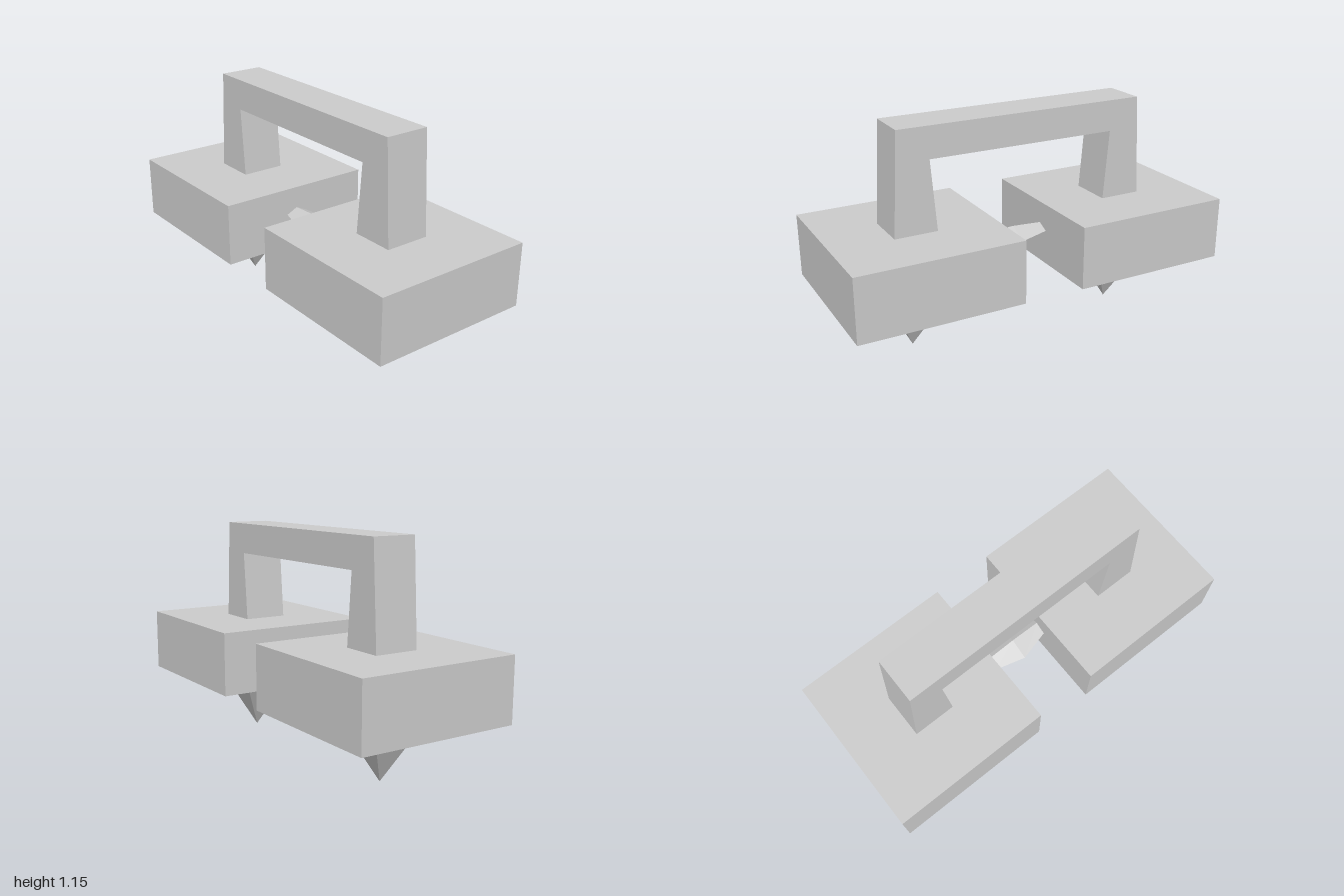
import * as THREE from 'three';

const material = new THREE.MeshStandardMaterial({ color: 0xcccccc, flatShading: true });

function add(parent, name, geometry, x = 0, y = 0, z = 0) {
  const mesh = new THREE.Mesh(geometry, material);
  mesh.name = name;
  mesh.position.set(x, y, z);
  parent.add(mesh);
  return mesh;
}

// Triangular bar lofted along x: each section is [x, ridgeY, baseY, halfDepth]
function ridgeBar(sections) {
  const positions = [];
  const index = [];
  for (const [x, ridge, base, depth] of sections) {
    positions.push(x, ridge, 0, x, base, depth, x, base, -depth);
  }
  for (let i = 0; i < sections.length - 1; i++) {
    for (let j = 0; j < 3; j++) {
      const a = i * 3 + j, b = i * 3 + (j + 1) % 3;
      index.push(a, b, a + 3, b, b + 3, a + 3);
    }
  }
  const last = (sections.length - 1) * 3;
  index.push(0, 2, 1, last, last + 1, last + 2);
  const geometry = new THREE.BufferGeometry();
  geometry.setAttribute('position', new THREE.Float32BufferAttribute(positions, 3));
  geometry.setIndex(index);
  const flat = geometry.toNonIndexed();
  flat.computeVertexNormals();
  return flat;
}

export function createModel() {
  const model = new THREE.Group();
  model.name = 'model';

  // Two blocks, each with a square spike pointing down
  for (const [side, s] of [['left', 1], ['right', -1]]) {
    add(model, side + 'Block', new THREE.BoxGeometry(0.84, 0.325, 0.84), s * 0.58, 0.4725, 0);
    const spike = new THREE.ConeGeometry(0.152 * Math.SQRT2, 0.31, 4, 1);
    spike.rotateY(Math.PI / 4).rotateX(Math.PI);
    add(model, side + 'Spike', spike, s * 0.58, 0.155, 0);
  }

  // Arched handle with slightly splayed legs
  const outline = [
    [-0.69, 0.635], [-0.47, 0.635], [-0.5, 0.995], [0.5, 0.995],
    [0.47, 0.635], [0.69, 0.635], [0.66, 1.155], [-0.66, 1.155],
  ].map(([x, y]) => new THREE.Vector2(x, y));
  const handle = new THREE.ExtrudeGeometry(new THREE.Shape(outline), { depth: 0.23, bevelEnabled: false });
  add(model, 'handle', handle, 0, 0, -0.115);

  // Connecting bar, thickest in the middle
  add(model, 'connectingBar', ridgeBar([
    [-0.16, 0.521, 0.492, 0.06],
    [0, 0.53, 0.48, 0.1],
    [0.16, 0.521, 0.492, 0.06],
  ]));

  return model;
}
